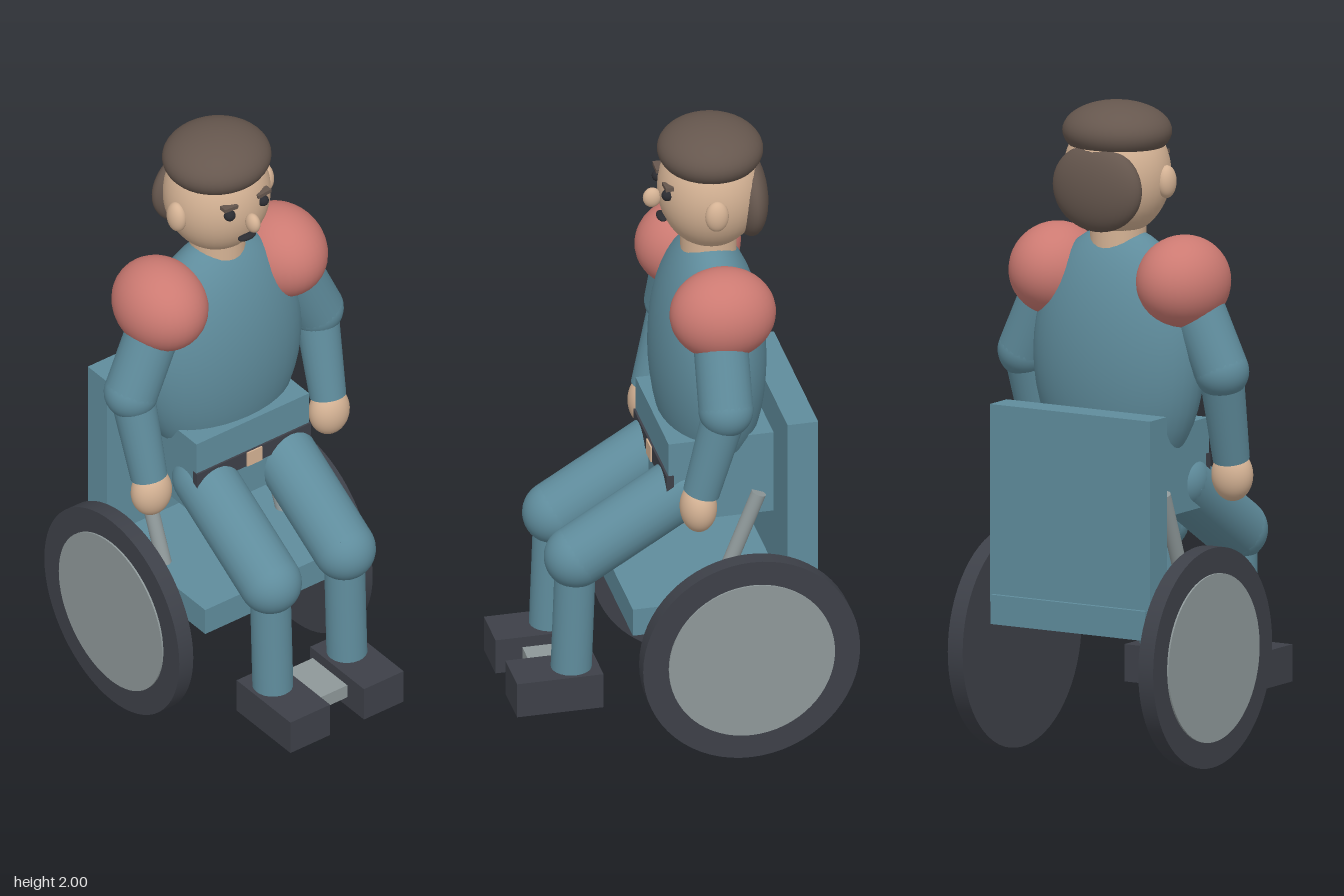
import * as THREE from 'three';

const material = (name, color) => {
  const m = new THREE.MeshStandardMaterial({ color });
  m.name = name;
  return m;
};

export function createModel() {
  const teal = material('teal', 0x5f8c9c);
  const red = material('coral red', 0xcc7a72);
  const skin = material('skin', 0xd4b294);
  const brown = material('brown hair', 0x66574e);
  const dark = material('dark rubber', 0x3d4048);
  const black = material('near black', 0x2b2c31);
  const grey = material('grey metal', 0x8e9899);

  const model = new THREE.Group();
  model.name = 'seatedFigure';

  const add = (name, geometry, mat, position) => {
    const mesh = new THREE.Mesh(geometry, mat);
    mesh.name = name;
    mesh.position.set(...position);
    model.add(mesh);
    return mesh;
  };
  const ellipsoid = (name, mat, position, radii) => {
    const mesh = add(name, new THREE.SphereGeometry(1, 36, 24), mat, position);
    mesh.scale.set(...radii);
    return mesh;
  };
  const box = (name, mat, position, size) =>
    add(name, new THREE.BoxGeometry(...size), mat, position);
  // Tapered rod between two points
  const rod = (name, mat, from, to, r0, r1 = r0) => {
    const a = new THREE.Vector3(...from), b = new THREE.Vector3(...to);
    const dir = b.clone().sub(a);
    const mesh = add(name, new THREE.CylinderGeometry(r1, r0, dir.length(), 24), mat,
      a.clone().add(b).multiplyScalar(0.5).toArray());
    mesh.quaternion.setFromUnitVectors(new THREE.Vector3(0, 1, 0), dir.normalize());
    return mesh;
  };
  // Rod with rounded ends
  const limb = (name, mat, from, to, r) => {
    rod(name, mat, from, to, r);
    ellipsoid(name + 'Start', mat, from, [r, r, r]);
    ellipsoid(name + 'End', mat, to, [r, r, r]);
  };

  // Head and hair
  ellipsoid('head', skin, [0, 1.78, -0.135], [0.165, 0.19, 0.16]);
  ellipsoid('hairCap', brown, [0, 1.91, -0.135], [0.168, 0.09, 0.16]);
  ellipsoid('backHair', brown, [0, 1.75, -0.247], [0.155, 0.135, 0.058]);
  ellipsoid('nose', skin, [0, 1.763, 0.045], [0.02, 0.032, 0.028]);
  ellipsoid('mouth', black, [0, 1.695, 0.015], [0.032, 0.01, 0.016]);
  rod('neck', skin, [0, 1.5, -0.13], [0, 1.66, -0.13], 0.085);

  // Torso, hips and belt
  ellipsoid('torso', teal, [0, 1.22, -0.125], [0.285, 0.4, 0.172]);
  box('hips', teal, [0, 0.89, -0.118], [0.426, 0.27, 0.325]);
  box('belt', dark, [0, 0.89, 0.04], [0.43, 0.052, 0.022]);
  box('buckle', skin, [0, 0.89, 0.052], [0.056, 0.05, 0.008]);

  // Chair body
  box('seat', teal, [0, 0.46, -0.1225], [0.55, 0.09, 0.585]);
  box('backrest', teal, [0, 0.783, -0.354], [0.57, 0.604, 0.095]);
  box('footrest', grey, [0, 0.202, 0.345], [0.26, 0.045, 0.172]);

  for (const [side, s] of [['left', 1], ['right', -1]]) {
    const n = (part) => side + part;

    // Face details
    ellipsoid(n('Ear'), skin, [s * 0.165, 1.765, -0.117], [0.027, 0.05, 0.036]);
    ellipsoid(n('Eye'), black, [s * 0.063, 1.8, 0.012], [0.018, 0.018, 0.018]);
    const brow = box(n('Eyebrow'), brown, [s * 0.063, 1.829, 0.01], [0.05, 0.012, 0.025]);
    brow.rotation.z = s * 0.08;

    // Arm
    ellipsoid(n('Shoulder'), red, [s * 0.226, 1.465, -0.12], [0.137, 0.142, 0.162]);
    limb(n('UpperArm'), teal, [s * 0.24, 1.44, -0.105], [s * 0.35, 1.2, -0.1], 0.083);
    rod(n('Forearm'), teal, [s * 0.348, 1.2, -0.1], [s * 0.338, 0.92, -0.027], 0.068, 0.056);
    ellipsoid(n('Hand'), skin, [s * 0.336, 0.87, -0.018], [0.066, 0.08, 0.056]);

    // Leg
    limb(n('Thigh'), teal, [s * 0.14, 0.835, -0.015], [s * 0.14, 0.635, 0.315], 0.096);
    rod(n('Shin'), teal, [s * 0.14, 0.635, 0.315], [s * 0.14, 0.22, 0.33], 0.062);
    box(n('Shoe'), dark, [s * 0.139, 0.202, 0.38], [0.15, 0.114, 0.268]);

    // Wheel and side strut
    const tyre = add(n('Tyre'), new THREE.CylinderGeometry(0.336, 0.336, 0.053, 64), dark,
      [s * 0.339, 0.336, -0.176]);
    const disc = add(n('WheelDisc'), new THREE.CylinderGeometry(0.257, 0.257, 0.03, 64), grey,
      [s * 0.356, 0.336, -0.176]);
    tyre.rotation.z = disc.rotation.z = Math.PI / 2;
    rod(n('Strut'), grey, [s * 0.225, 0.46, -0.085], [s * 0.225, 0.83, -0.232], 0.023);
  }

  return model;
}
